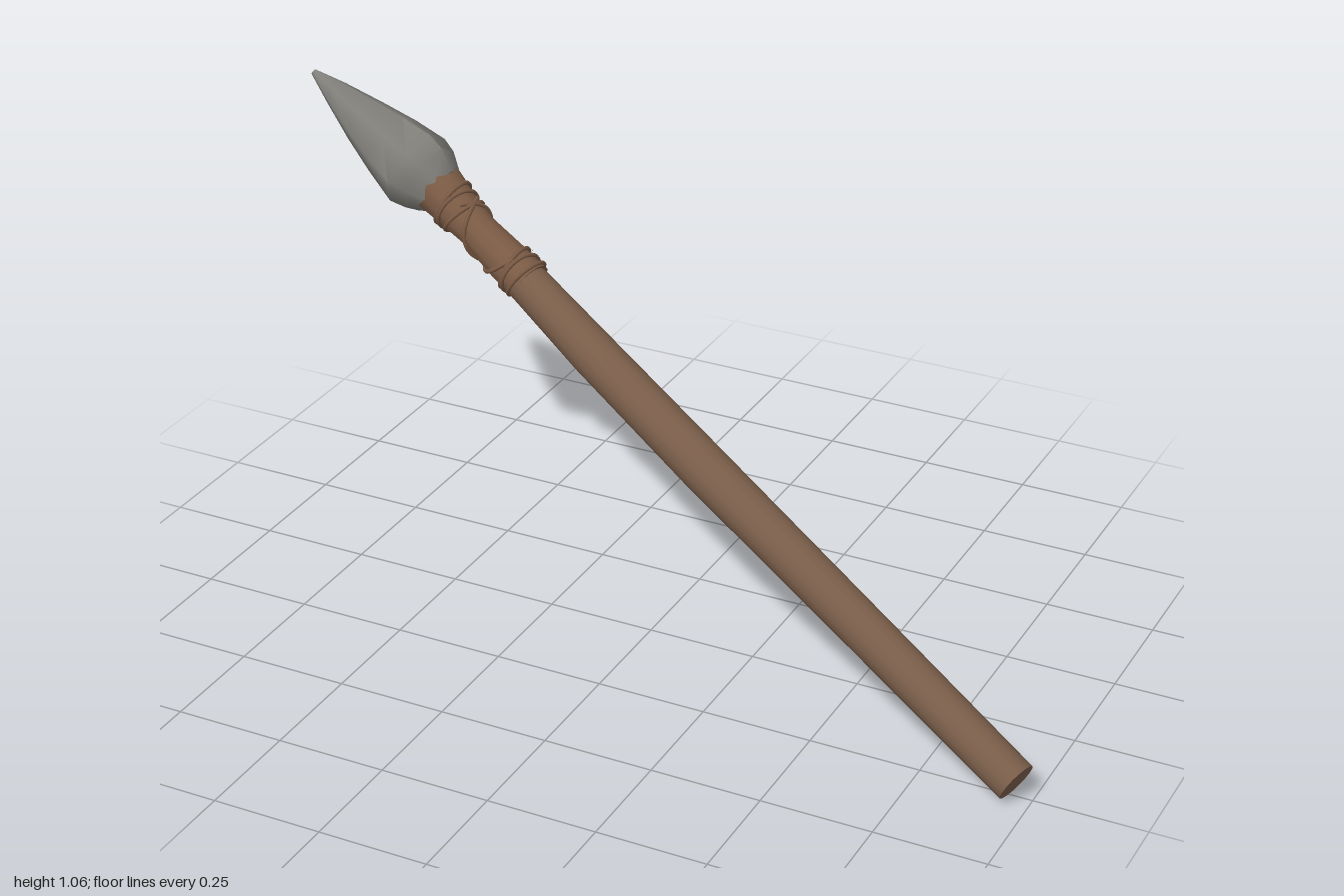
import * as THREE from 'three';
import { toCreasedNormals } from 'three/addons/utils/BufferGeometryUtils.js';

const V = (x, y, z) => new THREE.Vector3(x, y, z);

// Axes across a direction: u leans upward, w completes the frame
function frame(d) {
  const u = V(0, 1, 0).addScaledVector(d, -d.y).normalize();
  return { u, w: d.clone().cross(u) };
}

// Capped loft through sections [x, y, z, radiusU, radiusW]; bulge scales every second corner
function loft(sections, sides, crease, bulge = 1) {
  const centres = sections.map((s) => V(s[0], s[1], s[2]));
  const last = sections.length - 1;
  const pos = [], index = [];
  sections.forEach(([, , , ru, rw], i) => {
    const d = centres[Math.min(i + 1, last)].clone().sub(centres[Math.max(i - 1, 0)]).normalize();
    const { u, w } = frame(d);
    for (let j = 0; j < sides; j++) {
      const a = (j / sides) * Math.PI * 2, k = j % 2 ? bulge : 1;
      const p = centres[i].clone().addScaledVector(u, Math.cos(a) * ru * k).addScaledVector(w, Math.sin(a) * rw * k);
      pos.push(p.x, p.y, p.z);
    }
  });
  const start = pos.length / 3;
  for (const c of [centres[0], centres[last]]) pos.push(c.x, c.y, c.z);
  for (let j = 0; j < sides; j++) {
    const n = (j + 1) % sides;
    for (let i = 0; i < last; i++) {
      const a = i * sides, b = a + sides;
      index.push(a + j, a + n, b + n, a + j, b + n, b + j);
    }
    index.push(start, n, j, start + 1, last * sides + j, last * sides + n);
  }
  const g = new THREE.BufferGeometry();
  g.setAttribute('position', new THREE.Float32BufferAttribute(pos, 3));
  g.setIndex(index);
  return toCreasedNormals(g, crease);
}

export function createModel() {
  const group = new THREE.Group();
  const wood = new THREE.MeshStandardMaterial({ name: 'wood brown', color: 0x795d49 });
  const leather = new THREE.MeshStandardMaterial({ name: 'leather brown', color: 0x7b5b45 });
  const stone = new THREE.MeshStandardMaterial({ name: 'stone grey', color: 0x7e7d78 });
  const add = (name, geometry, material, parent = group) => {
    const mesh = new THREE.Mesh(geometry, material);
    mesh.name = name;
    parent.add(mesh);
  };

  // Slightly bent wooden shaft
  add('shaft', loft([
    [0.966, 0.047, 0.262, 0.047, 0.047],
    [0.59, 0.243, 0.16, 0.05, 0.05],
    [0.15, 0.473, 0.043, 0.054, 0.054],
    [-0.17, 0.63, -0.06, 0.052, 0.052],
    [-0.41, 0.75, -0.143, 0.046, 0.046],
  ], 16, 0.8), wood);

  // Leather sleeve, waisted in the middle and flared under the head
  const sleeve = [
    [-0.36, 0.728, -0.13, 0.05, 0.05],
    [-0.42, 0.757, -0.145, 0.05, 0.05],
    [-0.51, 0.808, -0.167, 0.044, 0.044],
    [-0.575, 0.846, -0.183, 0.052, 0.052],
    [-0.635, 0.88, -0.202, 0.062, 0.062],
  ];
  add('sleeve', loft(sleeve, 12, 0.8), leather);

  // Cords wound on the sleeve
  const path = new THREE.CatmullRomCurve3(sleeve.map((s) => V(s[0], s[1], s[2])));
  const radiusAt = (t) => {
    const f = t * (sleeve.length - 1), i = Math.min(Math.floor(f), sleeve.length - 2);
    return THREE.MathUtils.lerp(sleeve[i][3], sleeve[i + 1][3], f - i);
  };
  const onSleeve = (t, a) => {
    const { u, w } = frame(path.getTangent(t));
    const r = radiusAt(t) + 0.001;
    return path.getPoint(t).addScaledVector(u, Math.cos(a) * r).addScaledVector(w, Math.sin(a) * r);
  };
  const cord = (fn, closed) => {
    const points = Array.from({ length: 20 }, (_, i) => fn(i / (closed ? 20 : 19)));
    return new THREE.TubeGeometry(new THREE.CatmullRomCurve3(points, closed), 40, 0.005, 6, closed);
  };
  const binding = new THREE.Group();
  binding.name = 'binding';
  group.add(binding);
  [0.06, 0.13, 0.2, 0.66, 0.73, 0.8].forEach((t, i) => {
    const tilt = (i % 2 ? 1 : -1) * 0.03;
    add('wrap' + (i + 1), cord((s) => onSleeve(t + tilt * Math.cos(s * Math.PI * 2 + i), s * Math.PI * 2), true), leather, binding);
  });
  for (const side of [1, -1]) {
    add(side > 0 ? 'crossCordLeft' : 'crossCordRight',
      cord((s) => onSleeve(0.18 + 0.5 * s, side * (s * Math.PI * 2 + 0.6)), false), leather, binding);
  }

  // Knapped stone head with ridges along top and bottom
  add('spearHead', loft([
    [-0.618, 0.87, -0.198, 0.064, 0.06],
    [-0.655, 0.889, -0.206, 0.094, 0.084],
    [-0.69, 0.903, -0.213, 0.105, 0.095],
    [-0.765, 0.94, -0.233, 0.085, 0.083],
    [-0.845, 0.979, -0.252, 0.061, 0.062],
    [-0.93, 1.024, -0.27, 0.033, 0.033],
    [-0.997, 1.056, -0.286, 0.008, 0.008],
  ], 8, 1.0, 0.92), stone);

  return group;
}
